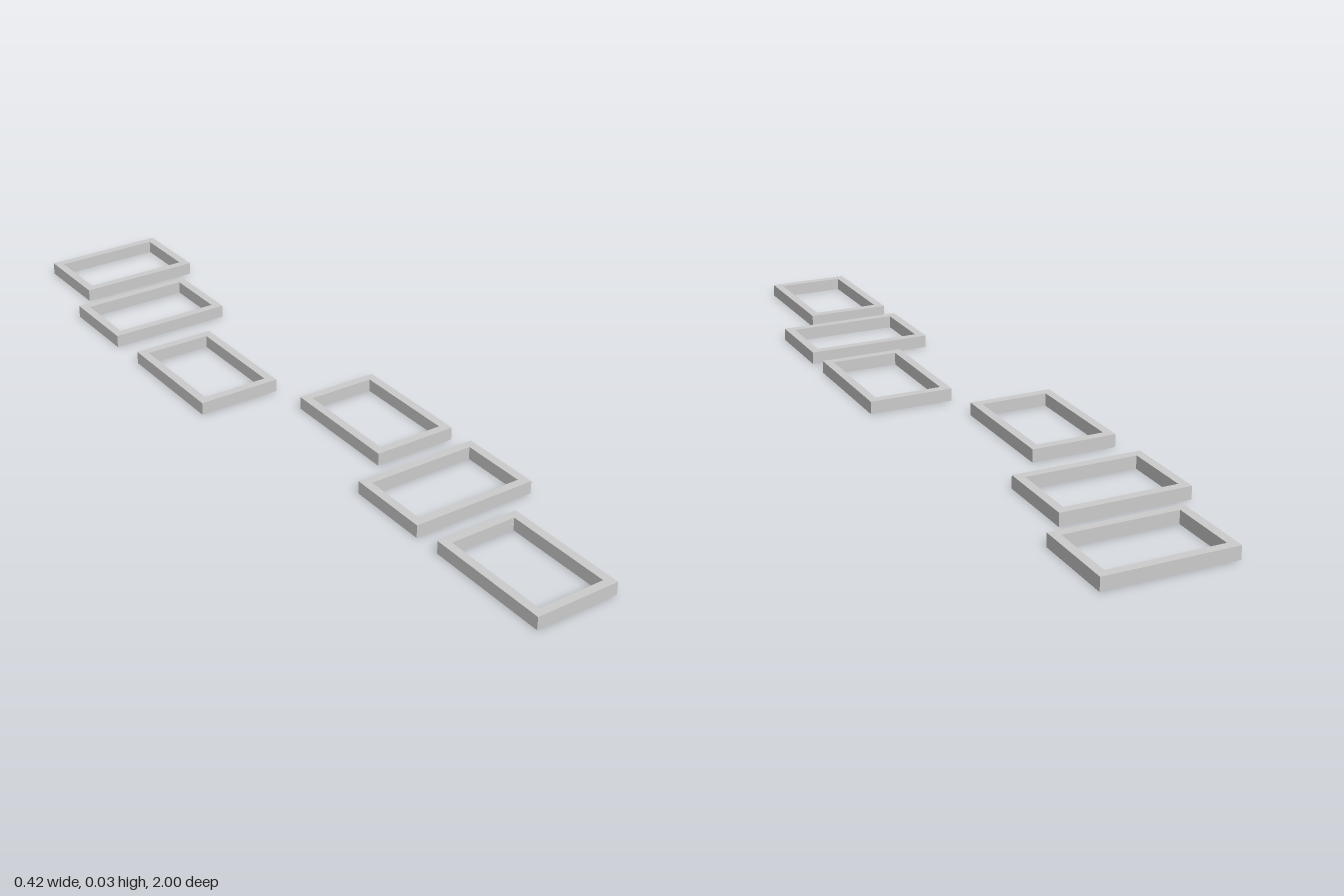
import * as THREE from 'three';

const UNIT = 2 / 19;
const LONG = 3 * UNIT, SHORT = 2 * UNIT;
const WALL = 0.2 * UNIT, HEIGHT = 0.3 * UNIT;

// Closed rectangle of the given size, centred on the origin
function rectangle(target, w, d) {
  target.moveTo(-w / 2, -d / 2);
  target.lineTo(w / 2, -d / 2);
  target.lineTo(w / 2, d / 2);
  target.lineTo(-w / 2, d / 2);
  target.closePath();
  return target;
}

// Open rectangular frame lying flat on y = 0
function frameGeometry(w, d) {
  const shape = rectangle(new THREE.Shape(), w, d);
  shape.holes.push(rectangle(new THREE.Path(), w - 2 * WALL, d - 2 * WALL));
  const geometry = new THREE.ExtrudeGeometry(shape, { depth: HEIGHT, bevelEnabled: false });
  return geometry.rotateX(-Math.PI / 2);
}

export function createModel() {
  const group = new THREE.Group();
  group.name = 'steppingFrames';
  const material = new THREE.MeshStandardMaterial({ color: 0xcccccc });
  const lengthwise = frameGeometry(SHORT, LONG);
  const crosswise = frameGeometry(LONG, SHORT);

  // Staggered row from front to back: [geometry, x, z]
  const layout = [
    [lengthwise, 0, 0.8421],
    [crosswise, 0.0526, 0.5088],
    [lengthwise, 0.1053, 0.1754],
    [lengthwise, -0.1053, -0.2456],
    [crosswise, -0.0526, -0.614],
    [crosswise, 0.0135, -0.8947],
  ];
  layout.forEach(([geometry, x, z], i) => {
    const frame = new THREE.Mesh(geometry, material);
    frame.name = `frame${i + 1}`;
    frame.position.set(x, 0, z);
    group.add(frame);
  });
  return group;
}
